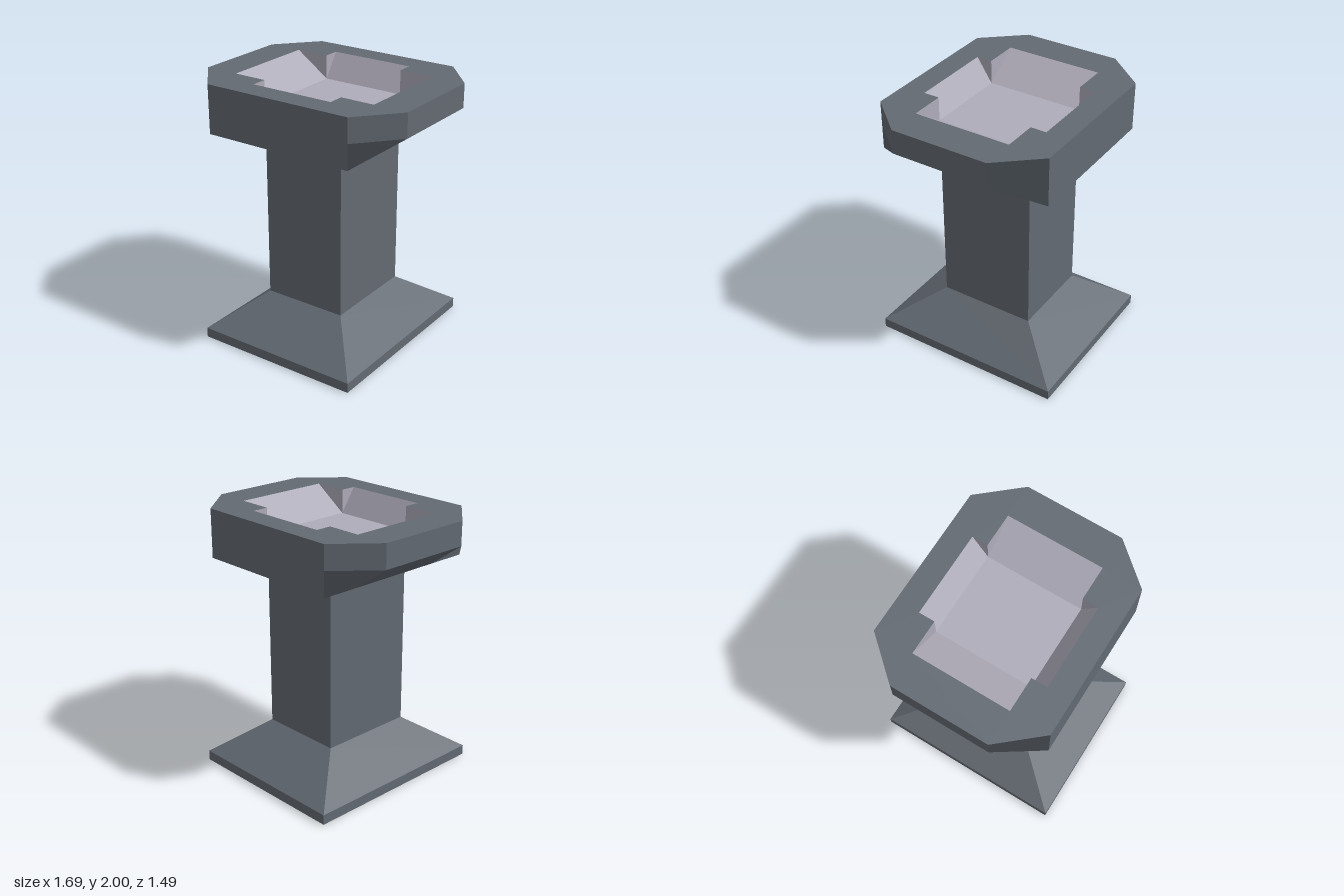
import * as THREE from 'three';

const body = new THREE.MeshStandardMaterial({ name: 'slate grey', color: 0x636a72 });
const basin = new THREE.MeshStandardMaterial({ name: 'pale lilac grey', color: 0xafacba });

// Flat polygons, each fanned from its first corner and given one normal.
// Every face is turned away from the point `ref`, or towards it if `inward`.
function polygons(faces, ref, inward = false) {
  const pos = [], nor = [];
  for (const f of faces) {
    let p = f.map((c) => new THREE.Vector3(...c));
    const n = new THREE.Vector3(), mid = new THREE.Vector3();
    p.forEach((a, i) => {
      n.add(a.clone().cross(p[(i + 1) % p.length]));
      mid.addScaledVector(a, 1 / p.length);
    });
    n.normalize();
    const out = n.dot(mid.sub(new THREE.Vector3(...ref)));
    if ((out < 0) !== inward) {
      n.negate();
      p = [p[0], ...p.slice(1).reverse()];
    }
    for (let i = 1; i < p.length - 1; i++) {
      for (const v of [p[0], p[i], p[i + 1]]) {
        pos.push(v.x, v.y, v.z);
        nor.push(n.x, n.y, n.z);
      }
    }
  }
  const g = new THREE.BufferGeometry();
  g.setAttribute('position', new THREE.Float32BufferAttribute(pos, 3));
  g.setAttribute('normal', new THREE.Float32BufferAttribute(nor, 3));
  return g;
}

// Rectangle corners in order around y
const rect = (x, y, z) => [[x, y, z], [-x, y, z], [-x, y, -z], [x, y, -z]];

// Side faces between two rectangles
function band(lower, upper) {
  return lower.map((c, i) => {
    const j = (i + 1) % 4;
    return [c, lower[j], upper[j], upper[i]];
  });
}

export function createModel() {
  const group = new THREE.Group();
  const add = (name, geometry, material) => {
    const mesh = new THREE.Mesh(geometry, material);
    mesh.name = name;
    group.add(mesh);
  };

  const top = 2, mid = 1.82, low = 1.635;
  const px = 0.325, pz = 0.37;      // pillar half sizes
  const hx = 0.845, ix = 0.585, hz = 0.67; // head half sizes

  // Base with sloping shoulders
  const r0 = rect(0.648, 0, 0.743), r1 = rect(0.648, 0.075, 0.743);
  const r2 = rect(px, 0.335, pz);
  add('base', polygons([r0, ...band(r0, r1), ...band(r1, r2)], [0, 0.1, 0]), body);

  // Pillar
  add('pillar', polygons(band(r2, rect(px, low, pz)), [0, 1, 0]), body);

  // Head: underside, front and back, side walls with sloped undersides, cut corners
  const head = [rect(ix, low, hz)];
  for (const s of [1, -1]) {
    head.push([[-ix, low, s * hz], [ix, low, s * hz], [ix, top, s * hz], [-ix, top, s * hz]]);
    head.push([[s * hx, mid, pz], [s * hx, mid, -pz], [s * hx, top, -pz], [s * hx, top, pz]]);
    head.push([[s * hx, mid, pz], [s * hx, mid, -pz], [s * ix, low, -pz], [s * ix, low, pz]]);
    for (const t of [1, -1]) {
      const outer = (y) => [s * hx, y, t * pz];
      const inner = (y) => [s * ix, y, t * hz];
      const foot = [s * ix, low, t * pz];
      if (s === t) {
        head.push([inner(mid), inner(top), outer(top), outer(mid)]);
        head.push([inner(low), inner(mid), outer(mid), foot]);
      } else {
        head.push([inner(low), inner(top), outer(top), outer(mid), foot]);
      }
    }
  }
  add('head', polygons(head, [0, mid, 0]), body);

  // Rim: octagon with a cross-shaped opening
  const bz = 0.49;
  const points = (list) => list.map(([x, y]) => new THREE.Vector2(x, y));
  const rim = new THREE.Shape(points([
    [hx, -pz], [hx, pz], [ix, hz], [-ix, hz], [-hx, pz], [-hx, -pz], [-ix, -hz], [ix, -hz],
  ]));
  rim.holes.push(new THREE.Path(points([
    [ix, -pz], [px, -pz], [px, -bz], [-px, -bz], [-px, -pz], [-ix, -pz],
    [-ix, pz], [-px, pz], [-px, bz], [px, bz], [px, pz], [ix, pz],
  ])));
  add('rim', new THREE.ShapeGeometry(rim).rotateX(-Math.PI / 2).translate(0, top, 0), body);

  // Basin: floor, four sloping sides and the triangular cheeks beside them
  const bowl = [rect(px, mid, pz)];
  for (const s of [1, -1]) {
    bowl.push([[s * px, mid, pz], [s * px, mid, -pz], [s * ix, top, -pz], [s * ix, top, pz]]);
    bowl.push([[px, mid, s * pz], [-px, mid, s * pz], [-px, top, s * bz], [px, top, s * bz]]);
    for (const t of [1, -1]) {
      const foot = [s * px, mid, t * pz], corner = [s * px, top, t * pz];
      bowl.push([foot, corner, [s * ix, top, t * pz]]);
      bowl.push([foot, corner, [s * px, top, t * bz]]);
    }
  }
  add('basin', polygons(bowl, [0, 3, 0], true), basin);

  return group;
}
